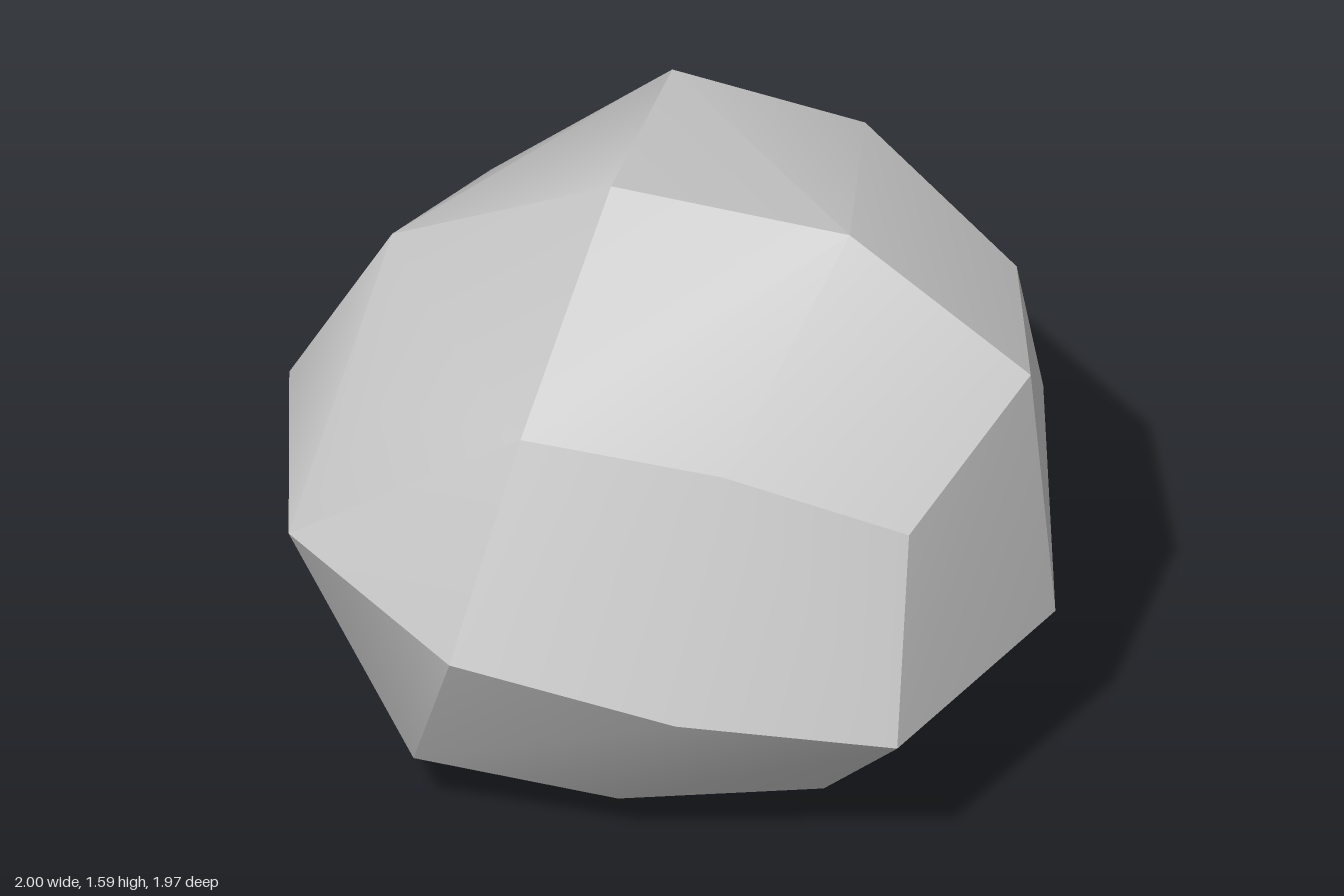
import * as THREE from 'three';
import { ConvexGeometry } from 'three/addons/geometries/ConvexGeometry.js';
import { toCreasedNormals } from 'three/addons/utils/BufferGeometryUtils.js';

// Corners of the rock, in bands from crown to base
const crown = [
  [-0.07, 1.59, -0.12], [0.14, 1.56, 0.47], [0.77, 1.38, 0.07], [0.59, 1.455, -0.4], [-0.76, 1.29, 0.09],
];
const shoulder = [
  [-0.54, 1.24, 0.56], [-0.22, 1.02, 0.91], [0.31, 1.21, 0.91], [0.79, 1.11, 0.525],
  [0.25, 1.21, -0.72], [-0.18, 1.26, -0.72], [-0.6, 1.07, -0.45],
];
const waist = [
  [-1, 0.71, 0.04], [-0.76, 0.6, 0.57], [-0.37, 0.475, 0.98], [0.34, 0.485, 0.965], [0.99, 0.6, 0.465],
  [1, 0.75, -0.07], [0.78, 0.84, -0.62], [0.33, 0.85, -0.985], [-0.27, 0.78, -0.975], [-0.8, 0.74, -0.6],
];
const base = [
  [-0.79, 0.195, -0.22], [-0.56, 0.13, 0.25], [-0.24, 0.145, 0.66], [0.29, 0.015, 0.58], [0.77, 0.23, 0.27],
  [0.7, 0.23, -0.25], [0.55, 0.29, -0.72], [0.24, 0.46, -0.93], [-0.2, 0.325, -0.97], [-0.59, 0.36, -0.6],
  [0.1, 0, 0], [-0.1, 0.08, -0.53],
];

export function createModel() {
  const group = new THREE.Group();
  group.name = 'boulder';

  // Faceted hull: gentle bends are smooth, strong ones stay sharp
  const corners = [...crown, ...shoulder, ...waist, ...base].map((p) => new THREE.Vector3(...p));
  const hull = toCreasedNormals(new ConvexGeometry(corners), Math.PI / 6);
  const rock = new THREE.Mesh(hull, new THREE.MeshStandardMaterial({ color: 0xcccccc }));
  rock.name = 'rock';
  group.add(rock);
  return group;
}
